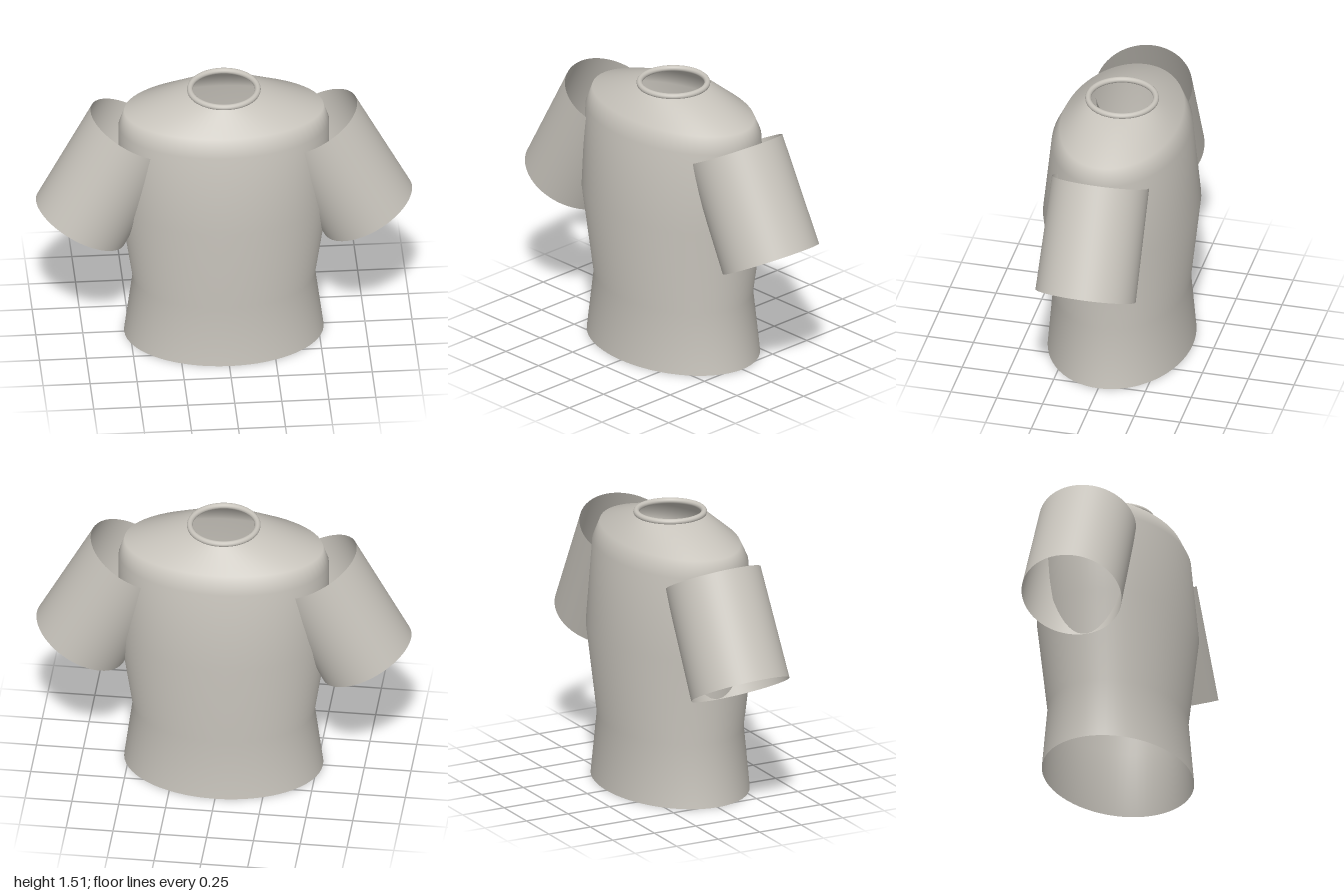
import * as THREE from 'three';
import { mergeVertices } from 'three/addons/utils/BufferGeometryUtils.js';

const fabric = new THREE.MeshStandardMaterial({ color: 0xc8c4bc, side: THREE.DoubleSide });
fabric.name = 'warm grey fabric';

// Oval rings of the torso: height, half width, half depth
const RINGS = [
  [0, 0.53, 0.385],
  [0.345, 0.485, 0.357],
  [0.84, 0.56, 0.41],
  [1.29, 0.56, 0.36],
  [1.382, 0.53, 0.315],
  [1.49, 0.19, 0.19],
];

function part(name, geometry) {
  const mesh = new THREE.Mesh(geometry, fabric);
  mesh.name = name;
  return mesh;
}

// Lathe on the half widths, then squash each ring to its own depth
function torsoGeometry() {
  const lathe = new THREE.LatheGeometry(RINGS.map(([y, rx]) => new THREE.Vector2(rx, y)), 64);
  const pos = lathe.attributes.position;
  for (let i = 0; i < pos.count; i++) {
    const [, rx, rz] = RINGS[i % RINGS.length];
    pos.setZ(i, pos.getZ(i) * rz / rx);
  }
  lathe.deleteAttribute('uv');
  lathe.deleteAttribute('normal');
  const geometry = mergeVertices(lathe);
  geometry.computeVertexNormals();
  return geometry;
}

// Open, slightly flared tube from the shoulder to the cuff
function sleeve(name, side) {
  const shoulder = new THREE.Vector3(side * 0.478, 1.268, 0);
  const cuff = new THREE.Vector3(side * 0.762, 0.725, 0.012);
  const axis = shoulder.clone().sub(cuff);
  const mesh = part(name, new THREE.CylinderGeometry(0.26, 0.268, axis.length(), 64, 1, true));
  mesh.position.copy(shoulder).add(cuff).multiplyScalar(0.5);
  mesh.quaternion.setFromUnitVectors(new THREE.Vector3(0, 1, 0), axis.normalize());
  return mesh;
}

export function createModel() {
  const shirt = new THREE.Group();
  shirt.name = 'shirt';

  shirt.add(part('torso', torsoGeometry()));
  shirt.add(sleeve('leftSleeve', 1), sleeve('rightSleeve', -1));

  // Rolled neckline
  const collar = part('collar', new THREE.TorusGeometry(0.18, 0.016, 12, 64));
  collar.rotation.x = Math.PI / 2;
  collar.position.y = 1.499;
  shirt.add(collar);

  return shirt;
}
